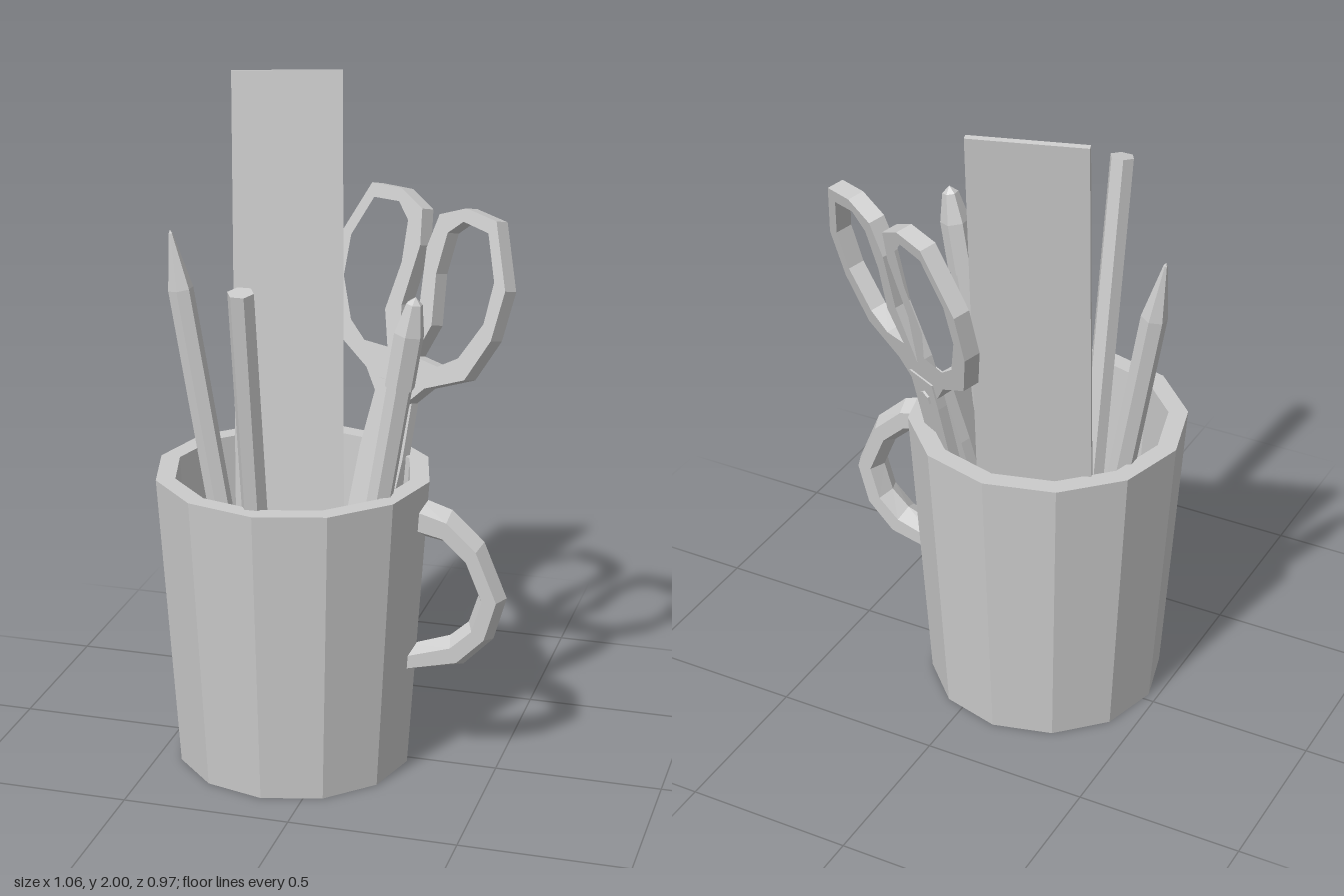
import * as THREE from 'three';

const grey = () => new THREE.MeshStandardMaterial({ color: 0xcccccc, flatShading: true });
const V = (x, y, z) => new THREE.Vector3(x, y, z);
const pts = (list) => list.map(([x, y]) => new THREE.Vector2(x, y));

function mesh(name, geometry) {
  const m = new THREE.Mesh(geometry, grey());
  m.name = name;
  return m;
}

// Six-sided rod from one point to another; profile pairs are [radius, distance back from the top end]
function rod(name, from, to, profile, turn = 0) {
  const dir = to.clone().sub(from);
  const len = dir.length();
  const outline = [[0, 0], [profile[0][0], 0], ...profile.map(([r, d]) => [r, len - d])];
  const m = mesh(name, new THREE.LatheGeometry(pts(outline), 6, turn));
  m.position.copy(from);
  m.quaternion.setFromUnitVectors(V(0, 1, 0), dir.normalize());
  return m;
}

// Handle: hexagonal section lofted between an outer and an inner curve
function handleGeometry() {
  const outer = [[0.25, 0.86], [0.36, 0.825], [0.457, 0.735], [0.527, 0.566], [0.49, 0.434], [0.4, 0.342], [0.235, 0.307]];
  const inner = [[0.25, 0.74], [0.336, 0.725], [0.4, 0.667], [0.442, 0.566], [0.415, 0.48], [0.36, 0.43], [0.235, 0.386]];
  const section = [[1, 0], [0.75, 0.05], [0.25, 0.05], [0, 0], [0.25, -0.05], [0.75, -0.05]];
  const pos = [], index = [];
  outer.forEach(([ox, oy], s) => {
    const [ix, iy] = inner[s];
    section.forEach(([t, z]) => pos.push(ix + (ox - ix) * t, iy + (oy - iy) * t, z));
  });
  const last = outer.length - 1;
  for (let s = 0; s < last; s++) {
    for (let i = 0; i < 6; i++) {
      const j = (i + 1) % 6;
      const a = s * 6 + i, b = s * 6 + j, c = b + 6, d = a + 6;
      index.push(a, b, c, a, c, d);
    }
  }
  for (let i = 1; i < 5; i++) {
    index.push(0, i + 1, i, last * 6, last * 6 + i, last * 6 + i + 1);
  }
  const g = new THREE.BufferGeometry();
  g.setAttribute('position', new THREE.Float32BufferAttribute(pos, 3));
  g.setIndex(index);
  g.computeVertexNormals();
  return g;
}

// Flat plate in the scissors' own plane, mirrored by side, from depth z0 to z1
function plate(name, side, outline, hole, z0, z1) {
  const flip = (list) => pts(list.map(([x, y]) => [x * side, y]));
  const shape = new THREE.Shape(flip(outline));
  if (hole) shape.holes.push(new THREE.Path(flip(hole)));
  const g = new THREE.ExtrudeGeometry(shape, { depth: z1 - z0, bevelEnabled: false });
  g.translate(0, 0, z0);
  return mesh(name, g);
}

function createScissors() {
  const group = new THREE.Group();
  group.name = 'scissors';
  const loop = [[0, 0.02], [0.06, 0.02], [0.12, 0.085], [0.26, 0.15], [0.325, 0.285], [0.337, 0.435], [0.25, 0.62],
    [0.13, 0.63], [0.035, 0.59], [0.013, 0.485], [0.035, 0.3], [0.01, 0.17], [0, 0.12]];
  const hole = [[0.23, 0.58], [0.13, 0.59], [0.08, 0.545], [0.07, 0.42], [0.095, 0.27], [0.055, 0.165],
    [0.15, 0.16], [0.22, 0.205], [0.285, 0.325], [0.29, 0.45]];
  const blade = [[-0.06, 0.07], [-0.055, -0.02], [-0.025, -0.3], [-0.01, -1.02], [0.03, -1.02], [0.06, -0.94], [0.075, -0.15], [0.06, 0.07]];
  for (const side of [-1, 1]) {
    group.add(plate('fingerLoop', side, loop, hole, -0.025, 0.025));
    group.add(plate('blade', side, blade, null, side < 0 ? 0 : -0.03, side < 0 ? 0.03 : 0));
  }
  const pivot = mesh('pivot', new THREE.CylinderGeometry(0.024, 0.024, 0.074, 6));
  pivot.rotation.x = Math.PI / 2;
  group.add(pivot);

  // Lean the scissors against the back of the rim
  const up = V(0.165, 1, -0.185).normalize();
  const across = V(0.87, -0.053, 0.49);
  const normal = across.clone().cross(up).normalize();
  across.crossVectors(up, normal);
  group.quaternion.setFromRotationMatrix(new THREE.Matrix4().makeBasis(across, up, normal));
  group.position.set(0.122, 1.045, -0.215);
  return group;
}

// Ruler: box standing between a bottom and a top point, turned to face across the cup
function createRuler() {
  const bottom = V(-0.187, 0.05, -0.152), top = V(-0.257, 2, -0.379);
  const up = top.clone().sub(bottom);
  const ruler = mesh('ruler', new THREE.BoxGeometry(0.33, up.length(), 0.018));
  up.normalize();
  const normal = V(0.315, 0, -0.098).cross(up).normalize();
  const across = up.clone().cross(normal);
  ruler.quaternion.setFromRotationMatrix(new THREE.Matrix4().makeBasis(across, up, normal));
  ruler.position.copy(bottom.add(top).multiplyScalar(0.5));
  return ruler;
}

export function createModel() {
  const model = new THREE.Group();
  model.name = 'deskCup';

  // Cup with wall thickness and handle
  const profile = [[0, 0], [0.352, 0], [0.411, 0.905], [0.353, 0.905], [0.305, 0.05], [0, 0.05]];
  const cup = mesh('cup', new THREE.LatheGeometry(pts(profile), 12));
  cup.position.set(-0.12, 0, 0.027);
  const handle = mesh('handle', handleGeometry());
  handle.position.z = 0.025;
  model.add(cup, handle);

  // Pencils and pen
  model.add(rod('sharpPencil', V(-0.275, 0.06, -0.082), V(-0.528, 1.57, -0.082),
    [[0.038, 0.18], [0.006, 0.01], [0, 0]]));
  model.add(rod('bluntPencil', V(-0.137, 0.06, 0.222), V(-0.137, 1.562, 0.457),
    [[0.038, 0], [0, 0]], Math.PI / 2));
  model.add(rod('pen', V(0.042, 0.06, 0.163), V(0.278, 1.5, 0.163),
    [[0.038, 0.27], [0.044, 0.27], [0.044, 0.11], [0.024, 0.02], [0, 0]]));

  model.add(createRuler(), createScissors());
  return model;
}
